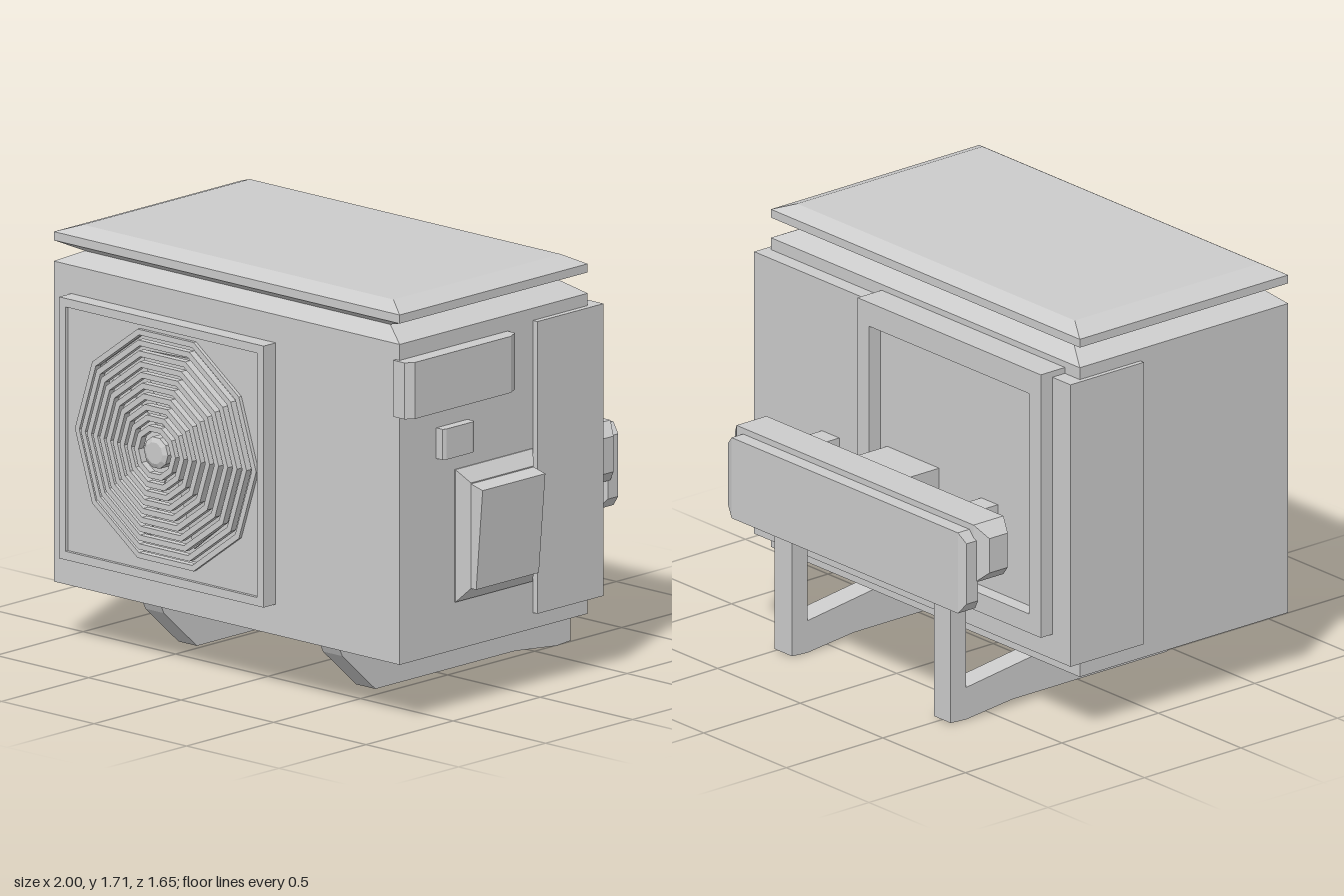
import * as THREE from 'three';

const material = new THREE.MeshStandardMaterial({ color: 0xcccccc, flatShading: true });

function add(parent, name, geometry) {
  const mesh = new THREE.Mesh(geometry, material);
  mesh.name = name;
  parent.add(mesh);
  return mesh;
}

// Box given by its limits on each axis
function box(x0, x1, y0, y1, z0, z1) {
  return new THREE.BoxGeometry(x1 - x0, y1 - y0, z1 - z0)
    .translate((x0 + x1) / 2, (y0 + y1) / 2, (z0 + z1) / 2);
}

// Capped stack of rectangles along an axis; ring = [t, u0, u1, v0, v1],
// where (u, v) is (y, z) for axis x, (z, x) for axis y, (x, y) for axis z
function stack(axis, rings) {
  const k = 'xyz'.indexOf(axis);
  const loops = rings.map(([t, u0, u1, v0, v1]) =>
    [[u0, v0], [u1, v0], [u1, v1], [u0, v1]].map(([u, v]) => {
      const p = [0, 0, 0];
      p[k] = t;
      p[(k + 1) % 3] = u;
      p[(k + 2) % 3] = v;
      return p;
    }));
  const out = [];
  const quad = (a, b, c, d) => out.push(...a, ...b, ...c, ...a, ...c, ...d);
  for (let i = 0; i < loops.length - 1; i++) {
    for (let j = 0; j < 4; j++) {
      const n = (j + 1) % 4;
      quad(loops[i][j], loops[i][n], loops[i + 1][n], loops[i + 1][j]);
    }
  }
  const first = loops[0], last = loops[loops.length - 1];
  quad(first[3], first[2], first[1], first[0]);
  quad(last[0], last[1], last[2], last[3]);
  const g = new THREE.BufferGeometry();
  g.setAttribute('position', new THREE.Float32BufferAttribute(out, 3));
  g.computeVertexNormals();
  return g;
}

const polygon = (pts) => new THREE.Shape(pts.map(([x, y]) => new THREE.Vector2(x, y)));
const rect = (x0, x1, y0, y1) => polygon([[x0, y0], [x1, y0], [x1, y1], [x0, y1]]);

function plate(outer, hole, z0, z1) {
  if (hole) outer.holes.push(hole);
  return new THREE.ExtrudeGeometry(outer, { depth: z1 - z0, bevelEnabled: false }).translate(0, 0, z0);
}

function addCabinet(root) {
  // Body and lid share the same outline, pulled in at the neck
  const ring = (y, inset) => [y, -0.39 + inset, 0.69 - inset, -0.98 + inset, 0.89 - inset];
  add(root, 'body', stack('y', [
    ring(0.28, 0.05), ring(0.25, 0.05), ring(0.25, 0), ring(1.555, 0),
    [1.61, -0.32, 0.63, -0.86, 0.78],
  ]));
  add(root, 'lid', stack('y', [
    [1.605, -0.32, 0.63, -0.86, 0.78], ring(1.64, 0), ring(1.675, 0),
    [1.71, -0.33, 0.63, -0.88, 0.80],
  ]));
  add(root, 'rearShell', box(-1, 0.915, 0.315, 1.505, -0.455, -0.075));
  // Raised frame around the rear opening
  add(root, 'rearFrame', plate(rect(-0.89, 0.22, 0.42, 1.53), rect(-0.82, 0.15, 0.5, 1.43), -0.515, -0.39));
}

function addFan(root) {
  const fan = new THREE.Group();
  fan.name = 'fan';
  fan.position.set(-0.31, 0.92, 0);
  root.add(fan);

  // Square front panel with a ten-sided opening and a thin raised rim
  const opening = polygon(Array.from({ length: 10 }, (_, i) => {
    const a = i * Math.PI / 5;
    return [0.475 * Math.cos(a), 0.475 * Math.sin(a)];
  }));
  add(fan, 'fanPanel', plate(rect(-0.56, 0.52, -0.53, 0.505), opening, 0.685, 0.745));
  add(fan, 'fanPanelRim', plate(rect(-0.575, 0.53, -0.545, 0.52), rect(-0.54, 0.495, -0.51, 0.485), 0.685, 0.76));

  // Blades
  for (let i = 0; i < 5; i++) {
    const g = plate(polygon([[-0.03, 0.05], [0.03, 0.05], [0.145, 0.38], [-0.145, 0.38]]), null, -0.004, 0.004);
    g.rotateY(0.12).translate(0, 0, 0.722).rotateZ(i * Math.PI * 0.4);
    add(fan, 'blade', g);
  }

  // Domed guard made of concentric ten-sided rings
  const dome = (r) => 0.76 + 0.065 * (1 - (r / 0.49) ** 2);
  const lathe = (pts) => new THREE.LatheGeometry(
    pts.map(([r, z]) => new THREE.Vector2(r, z)), 10, Math.PI / 2).rotateX(Math.PI / 2);
  for (let i = 0; i < 10; i++) {
    const r = 0.49 - i * 0.042, q = r - 0.024, z = dome(r), b = z - 0.03;
    add(fan, 'guardRing', lathe([[r, b], [r, z], [q, z], [q, b], [r, b]]));
  }
  add(fan, 'hub', lathe([[0, 0.69], [0.065, 0.69], [0.065, 0.815], [0.045, 0.825], [0, 0.825]]));
}

function addSideFittings(root) {
  // Sloped service cover on a bevelled base
  add(root, 'coverBase', stack('x', [
    [0.88, 0.445, 0.985, -0.07, 0.375], [0.895, 0.445, 0.985, -0.07, 0.375],
    [0.937, 0.5, 0.93, -0.03, 0.33],
  ]));
  const cover = box(0.92, 1, 0.5, 0.93, -0.03, 0.33);
  const p = cover.attributes.position;
  for (let i = 0; i < p.count; i++) {
    if (p.getX(i) < 0.95) continue;
    const top = p.getY(i) > 0.7;
    p.setX(i, top ? 1 : 0.965);
    if (top) p.setY(i, 0.91);
  }
  add(root, 'serviceCover', cover);

  // Chamfered boxes above it
  add(root, 'cornerBox', stack('x', [
    [0.87, 1.26, 1.49, 0.07, 0.705], [0.93, 1.26, 1.49, 0.07, 0.705],
    [0.955, 1.26, 1.49, 0.12, 0.67],
  ]));
  add(root, 'smallBox', stack('x', [
    [0.88, 1.05, 1.175, 0.3, 0.48], [0.925, 1.05, 1.175, 0.3, 0.48],
    [0.932, 1.05, 1.175, 0.315, 0.465],
  ]));
}

function addStand(root) {
  // Slanted foot and upright post, one pair on each side
  const foot = polygon([[0.64, 0.26], [0.61, 0.2], [0.42, 0.03], [-0.38, 0.03],
    [-0.62, 0.005], [-0.70, 0.01], [-0.70, 0.75], [-0.62, 0.75], [-0.62, 0.14], [0.2, 0.25], [0.2, 0.26]]);
  for (const [x0, x1] of [[-0.56, -0.46], [0.4, 0.505]]) {
    const g = new THREE.ExtrudeGeometry(foot, { depth: x1 - x0, bevelEnabled: false });
    g.rotateY(-Math.PI / 2).translate(x1, 0, 0);
    add(root, 'standFoot', mapFoot(g));
    add(root, 'standArm', box(x0, x1, 0.7, 0.87, -0.63, -0.44));
  }
  add(root, 'centreBracket', box(-0.205, 0.11, 0.69, 0.92, -0.63, -0.44));

  // Double bumper bar with tapered ends
  add(root, 'innerBar', stack('x', [
    [-0.83, 0.73, 0.875, -0.73, -0.635], [-0.775, 0.68, 0.925, -0.765, -0.61],
    [0.66, 0.68, 0.925, -0.765, -0.61], [0.71, 0.73, 0.875, -0.73, -0.635],
  ]));
  add(root, 'outerBar', stack('x', [
    [-0.785, 0.605, 0.86, -0.81, -0.75], [-0.75, 0.56, 0.9, -0.825, -0.735],
    [0.62, 0.56, 0.9, -0.825, -0.735], [0.66, 0.605, 0.86, -0.81, -0.75],
  ]));
}

// The foot outline is drawn in (z, y); a quarter turn puts it across x
function mapFoot(g) {
  return g;
}

export function createModel() {
  const root = new THREE.Group();
  root.name = 'outdoorUnit';
  addCabinet(root);
  addFan(root);
  addSideFittings(root);
  addStand(root);
  return root;
}
